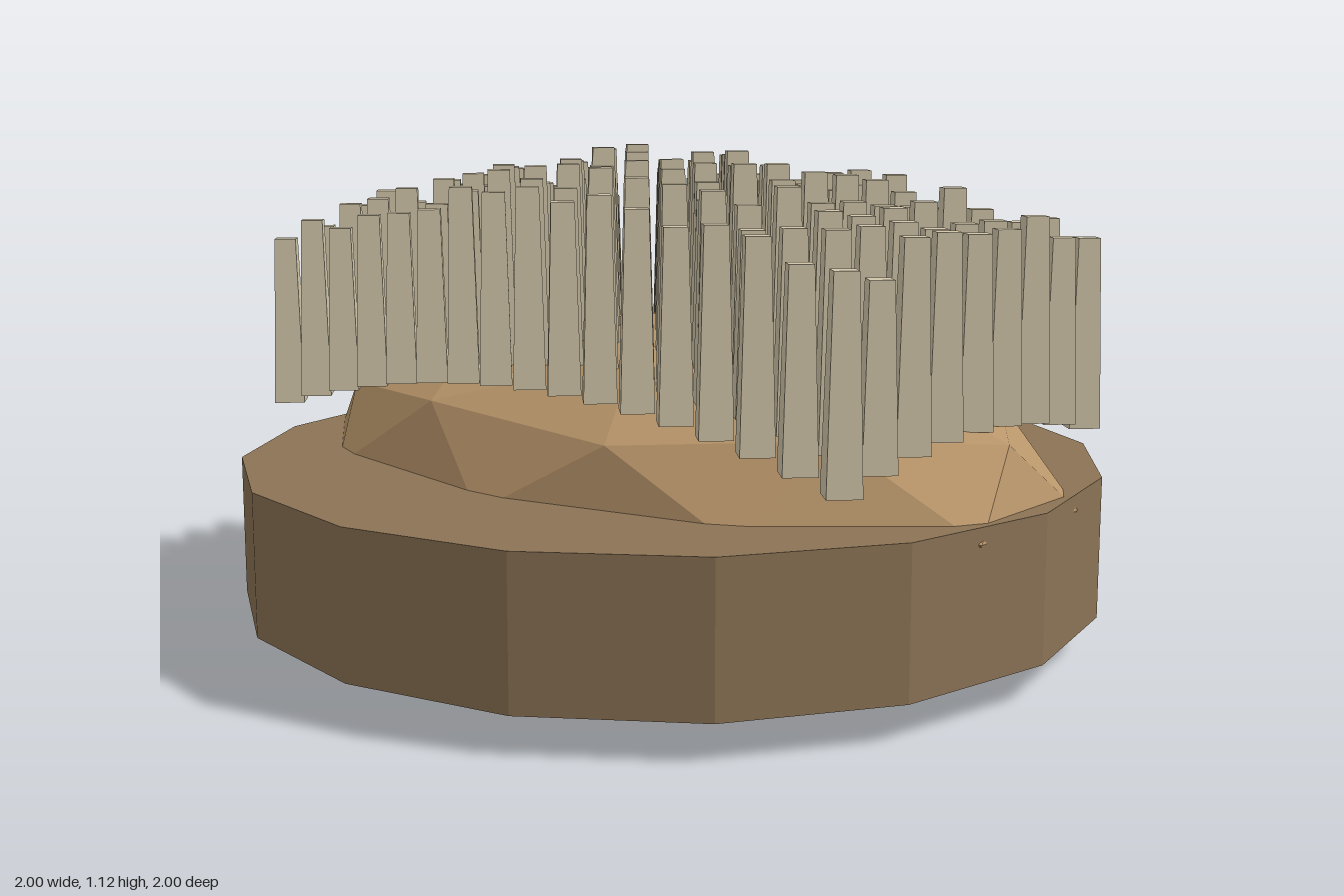
import * as THREE from 'three';

const material = (color) => new THREE.MeshStandardMaterial({ color, flatShading: true });

// Small seeded generator for the uneven bristle lengths
function seeded(seed) {
  return () => {
    seed = (seed * 16807) % 2147483647;
    return seed / 2147483647;
  };
}

export function createModel() {
  const group = new THREE.Group();

  // Round handle: a thick sixteen-sided disc
  const disc = new THREE.Mesh(new THREE.CylinderGeometry(1, 1, 0.32, 16), material(0x8b7355));
  disc.name = 'handleDisc';
  disc.position.y = 0.24;
  group.add(disc);

  // Faceted oval body passing through the disc, turned so a vertex points up
  const oval = new THREE.IcosahedronGeometry(1, 1);
  oval.rotateX(-Math.atan((1 + Math.sqrt(5)) / 2));
  oval.rotateY(Math.PI / 2);
  oval.scale(1.015, 0.365, 0.635);
  oval.computeVertexNormals();
  const body = new THREE.Mesh(oval, material(0xb8956a));
  body.name = 'ovalBody';
  body.position.y = 0.365;
  group.add(body);

  // Tapered square bristles in a grid that follows the dome
  const bristles = new THREE.Group();
  bristles.name = 'bristles';
  const shape = new THREE.CylinderGeometry(0.035, 0.05, 1, 4).translate(0, 0.5, 0);
  const bristleMaterial = material(0xd2c6aa);
  const random = seeded(77);
  const columns = 17, rows = 9;
  for (let i = 0; i < columns; i++) {
    for (let j = 0; j < rows; j++) {
      const u = (2 * i) / (columns - 1) - 1;
      const v = (2 * j) / (rows - 1) - 1;
      const bristle = new THREE.Mesh(shape, bristleMaterial);
      bristle.name = 'bristle';
      bristle.position.set(0.82 * u, 0.67 - 0.12 * u * u - 0.06 * v * v, 0.47 * v);
      bristle.scale.y = 0.375 + 0.075 * random();
      bristles.add(bristle);
    }
  }
  group.add(bristles);

  return group;
}
